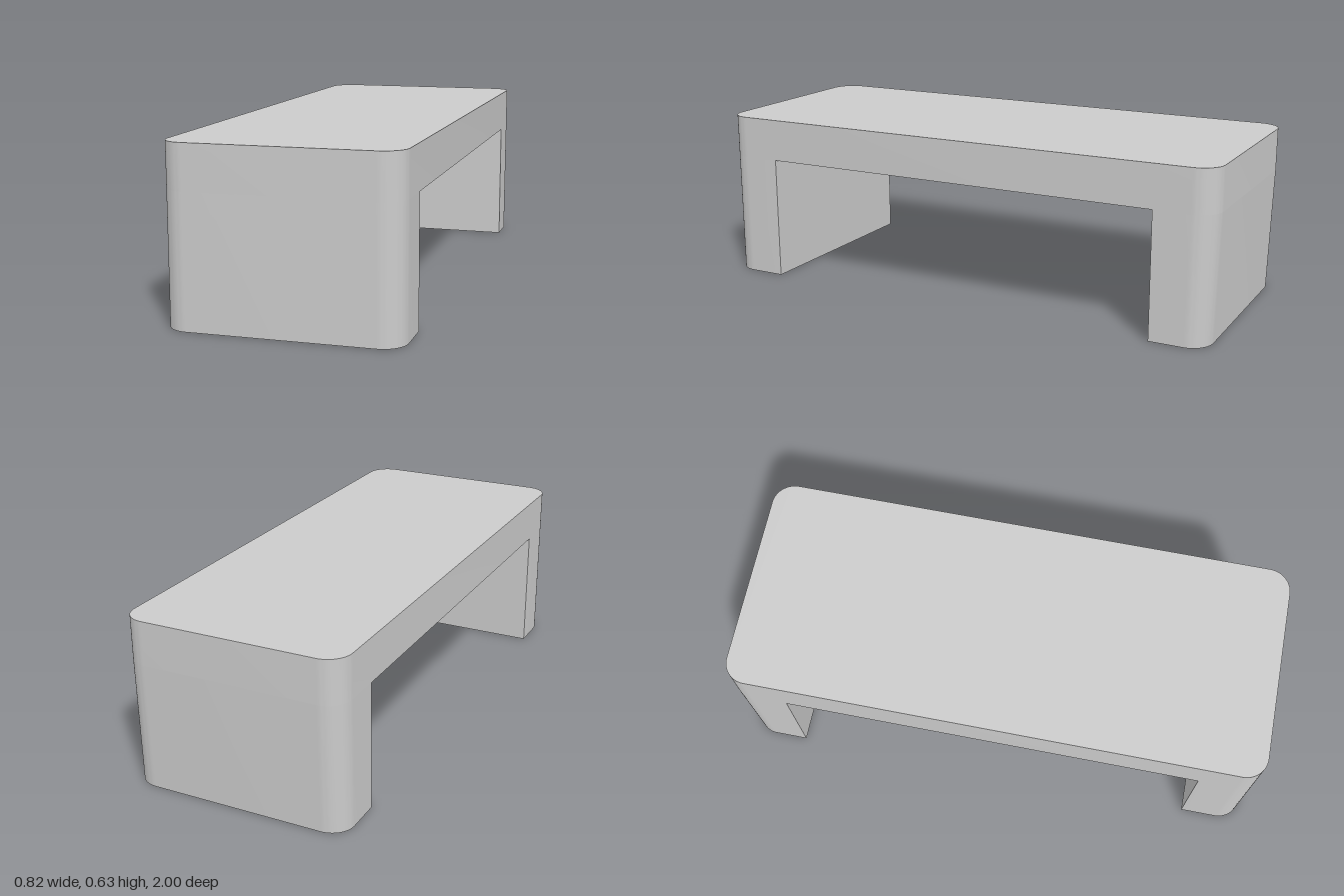
import * as THREE from 'three';
import { toCreasedNormals } from 'three/addons/utils/BufferGeometryUtils.js';

const W = 0.41, L = 1, R = 0.085;      // half width, half length, corner radius
const TOP = 0.63, UNDER = 0.47;        // top surface and underside of the slab
const INNER = 0.78;                    // inner face of the legs
const BACK_TAPER = 0.013;              // back leg leans in slightly at the floor

// Plan outline between v0 and v1, with rounded corners at the chosen ends
function outline(v0, v1, r0, r1) {
  const s = new THREE.Shape();
  s.moveTo(-W + r0, v0);
  s.lineTo(W - r0, v0);
  if (r0) s.absarc(W - r0, v0 + r0, r0, -Math.PI / 2, 0, false);
  s.lineTo(W, v1 - r1);
  if (r1) s.absarc(W - r1, v1 - r1, r1, 0, Math.PI / 2, false);
  s.lineTo(-W + r1, v1);
  if (r1) s.absarc(-W + r1, v1 - r1, r1, Math.PI / 2, Math.PI, false);
  s.lineTo(-W, v0 + r0);
  if (r0) s.absarc(-W + r0, v0 + r0, r0, Math.PI, Math.PI * 1.5, false);
  return s;
}

// Extrude a plan outline upward from y0 to y1
function upright(shape, y0, y1) {
  const g = new THREE.ExtrudeGeometry(shape, { depth: y1 - y0, bevelEnabled: false, curveSegments: 8 });
  g.rotateX(-Math.PI / 2);
  g.translate(0, y0, 0);
  return g;
}

export function createModel() {
  const group = new THREE.Group();
  const material = new THREE.MeshStandardMaterial({ color: 0xcccccc });
  const add = (name, geometry) => {
    const mesh = new THREE.Mesh(toCreasedNormals(geometry, Math.PI / 6), material);
    mesh.name = name;
    group.add(mesh);
  };

  // Slab with four rounded corners
  add('tabletop', upright(outline(-L, L, R, R), UNDER, TOP));

  // Full-width legs, rounded on the outer corners only
  add('frontLeg', upright(outline(-L, -INNER, R, 0), 0, UNDER));
  const back = upright(outline(INNER, L, 0, R), 0, UNDER);
  const p = back.attributes.position;
  for (let i = 0; i < p.count; i++) {
    const outward = (-p.getZ(i) - INNER) / (L - INNER);
    p.setZ(i, p.getZ(i) + BACK_TAPER * outward * (1 - p.getY(i) / UNDER));
  }
  add('backLeg', back);

  return group;
}
